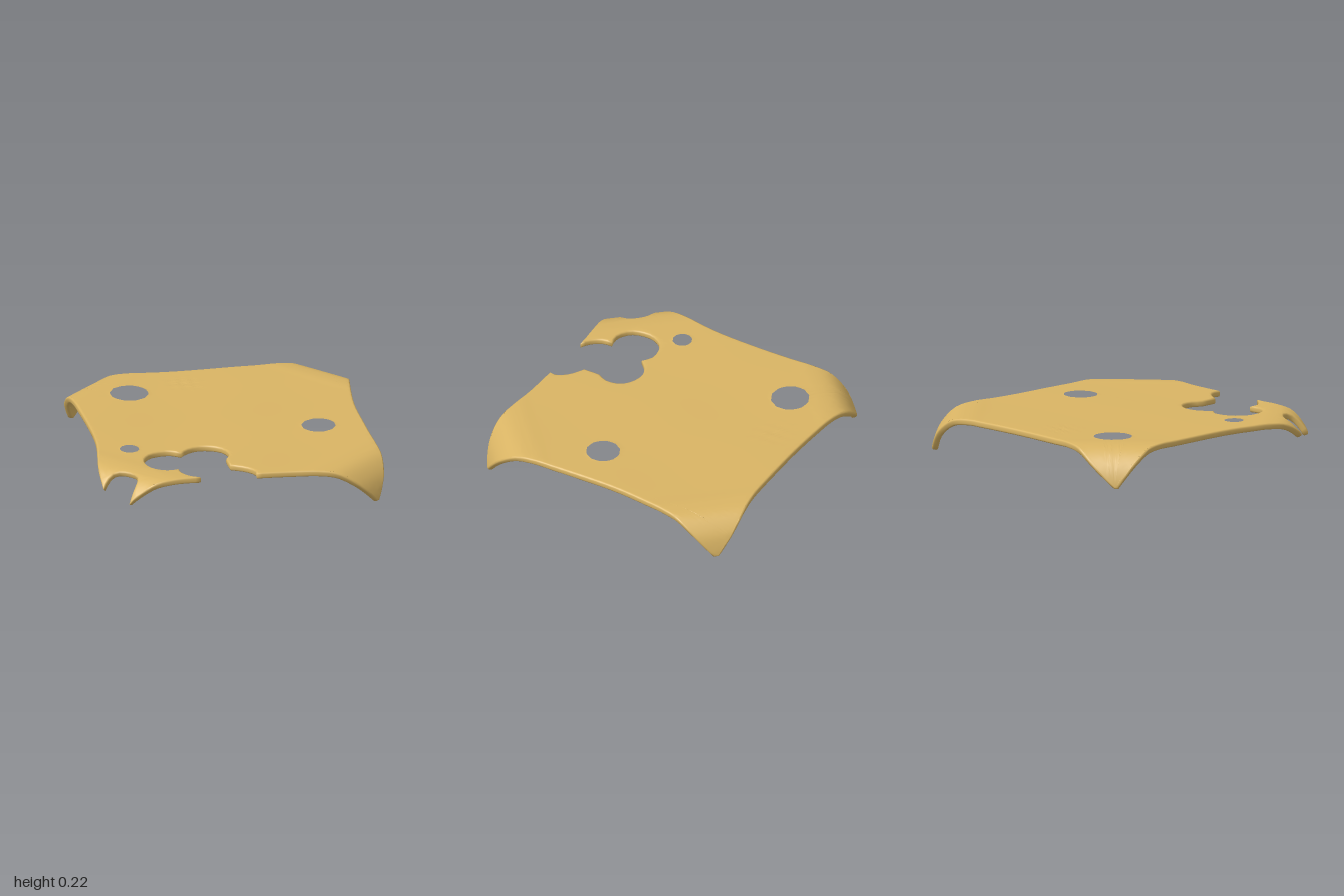
import * as THREE from 'three';
import { mergeVertices } from 'three/addons/utils/BufferGeometryUtils.js';

const TOP = 0.212; // height of the middle of the flat sheet
const FLAT = 0.6; // the sheet is certainly flat this far from its centre

// Section of a drooping corner: distance outwards, height
const droop = new THREE.SplineCurve([
  [FLAT, TOP], [0.7, TOP], [0.79, TOP], [0.875, 0.195], [0.94, 0.135], [0.97, 0.07], [0.983, 0.01],
].map(([x, y]) => new THREE.Vector2(x, y)));
const droopLength = droop.getLength();

// Where a distance s along the sheet lands: outward position, drop and surface normal
function bend(s) {
  const a = Math.abs(s), sign = Math.sign(s);
  if (a <= FLAT) return { out: s, drop: 0, nOut: 0, nUp: 1 };
  const t = Math.min((a - FLAT) / droopLength, 1);
  const p = droop.getPointAt(t), d = droop.getTangentAt(t);
  return { out: sign * p.x, drop: TOP - p.y, nOut: -sign * d.y, nUp: d.x };
}

// Points are [x, z] on the unfolded sheet; smooth runs become splines
const V = ([x, z]) => new THREE.Vector2(x, -z);
function run(points, step) {
  const curve = new THREE.SplineCurve(points.map(V));
  return curve.getSpacedPoints(Math.max(2, Math.round(curve.getLength() / step)));
}

function sheetShape() {
  const backRight = [[-0.015, -1.092], [0.1, -0.955], [0.2, -0.825], [0.4, -0.6], [0.6, -0.42], [0.8, -0.25], [0.95, -0.135], [1.09, -0.02]];
  const frontRight = [[1.09, 0], [0.96, 0.12], [0.8, 0.25], [0.69, 0.345], [0.56, 0.475]];
  const bigBite = [
    [[0.56, 0.475], [0.53, 0.445], [0.46, 0.44], [0.38, 0.465]],
    [[0.38, 0.465], [0.305, 0.4], [0.295, 0.36], [0.25, 0.32], [0.2, 0.305], [0.14, 0.32], [0.09, 0.36], [0.067, 0.42], [0.07, 0.48]],
    [[0.07, 0.48], [0.01, 0.495], [-0.03, 0.54], [-0.05, 0.6], [-0.03, 0.67], [0.02, 0.715], [0.08, 0.735], [0.15, 0.715], [0.19, 0.66]],
    [[0.19, 0.66], [0.23, 0.69], [0.29, 0.7], [0.355, 0.685]],
  ];
  const frontPiece = [[0.355, 0.685], [0.27, 0.79], [0.18, 0.91], [0.1, 1.01]];
  const smallBite = [[0.1, 1.01], [0.095, 0.93], [0.09, 0.89], [0.06, 0.855], [0, 0.85], [-0.05, 0.865], [-0.075, 0.9], [-0.085, 0.975]];
  const frontLeft = [[-0.085, 0.975], [-0.2, 0.85], [-0.37, 0.64], [-0.56, 0.46], [-0.8, 0.26], [-0.93, 0.17], [-1.09, 0.055]];
  const backLeft = [[-1.09, 0.035], [-0.97, -0.09], [-0.8, -0.22], [-0.6, -0.41], [-0.4, -0.63], [-0.28, -0.77], [-0.16, -0.94], [-0.045, -1.092]];
  const runs = [
    run(backRight, 0.06), run(frontRight, 0.06), ...bigBite.map((b) => run(b, 0.032)),
    run(frontPiece, 0.06), run(smallBite, 0.032), run(frontLeft, 0.06), run(backLeft, 0.06),
  ];
  const outline = [];
  for (const p of runs.flat()) {
    if (!outline.length || outline[outline.length - 1].distanceTo(p) > 0.004) outline.push(p);
  }
  const shape = new THREE.Shape(outline);

  // Round holes with slightly uneven rims
  for (const [x, z, r] of [[-0.63, 0, 0.11], [0.425, -0.25, 0.098], [-0.175, 0.605, 0.06]]) {
    const n = 22, rim = [];
    for (let i = 0; i < n; i++) {
      const a = (i / n) * Math.PI * 2, k = r * (1 + 0.02 * Math.cos(a * 10));
      rim.push(V([x + k * Math.cos(a), z + k * Math.sin(a)]));
    }
    shape.holes.push(new THREE.Path(rim));
  }
  return shape;
}

// Halve every edge longer than max; neighbours always agree on the split
function subdivide(tris, max) {
  for (let pass = 0; pass < 8; pass++) {
    const next = [];
    for (const t of tris) {
      const long = [0, 1, 2].map((i) => t[i].distanceTo(t[(i + 1) % 3]) > max);
      const count = long.filter(Boolean).length;
      if (!count) { next.push(t); continue; }
      // Turn the triangle so that its first edge is split and, for two splits, its last is not
      let s = long.indexOf(true);
      if (count === 2) s = (long.indexOf(false) + 1) % 3;
      const [a, b, c] = [t[s], t[(s + 1) % 3], t[(s + 2) % 3]];
      const mid = (p, q) => p.clone().add(q).multiplyScalar(0.5);
      const ab = mid(a, b), bc = mid(b, c), ca = mid(c, a);
      if (count === 1) next.push([a, ab, c], [ab, b, c]);
      else if (count === 2) next.push([ab, b, bc], [a, ab, bc], [a, bc, c]);
      else next.push([a, ab, ca], [ab, b, bc], [ca, bc, c], [ab, bc, ca]);
    }
    tris = next;
  }
  return tris;
}

// Gentle waves, and a small pimpled patch near the back right
function relief(x, z) {
  const d = Math.hypot(x + 0.48, z + 0.28);
  const patch = d < 0.12 ? 0.004 * (1 - d / 0.12) * Math.sin(x * 75) * Math.sin(z * 75) : 0;
  return patch + 0.002 * Math.sin(x * 7 + 1) * Math.cos(z * 6);
}

function sheetGeometry() {
  const flat = new THREE.ExtrudeGeometry(sheetShape(), {
    depth: 0.014, bevelEnabled: true, bevelThickness: 0.01, bevelSize: 0.009, bevelOffset: -0.009, bevelSegments: 2,
  });
  flat.translate(0, 0, -0.007);
  flat.rotateX(-Math.PI / 2);
  const pos = flat.attributes.position, tris = [];
  for (let i = 0; i < pos.count; i += 3) {
    tris.push([0, 1, 2].map((k) => new THREE.Vector3().fromBufferAttribute(pos, i + k)));
  }
  // Bend the fine mesh down at the four corners
  const coords = [];
  for (const p of subdivide(tris, 0.045).flat()) {
    const bx = bend(p.x), bz = bend(p.z), t = p.y + relief(p.x, p.z);
    coords.push(bx.out + bx.nOut * t, TOP - bx.drop - bz.drop + bx.nUp * bz.nUp * t, bz.out + bz.nOut * t);
  }
  const raw = new THREE.BufferGeometry();
  raw.setAttribute('position', new THREE.Float32BufferAttribute(coords, 3));
  const geometry = mergeVertices(raw, 1e-5);
  geometry.computeVertexNormals();
  geometry.computeBoundingBox();
  geometry.translate(0, -geometry.boundingBox.min.y, 0);
  return geometry;
}

export function createModel() {
  const group = new THREE.Group();
  group.name = 'cheeseSlice';
  const cheese = new THREE.MeshStandardMaterial({ color: 0xd9b464 });
  cheese.name = 'cheese yellow';
  const slice = new THREE.Mesh(sheetGeometry(), cheese);
  slice.name = 'slice';
  group.add(slice);
  return group;
}
